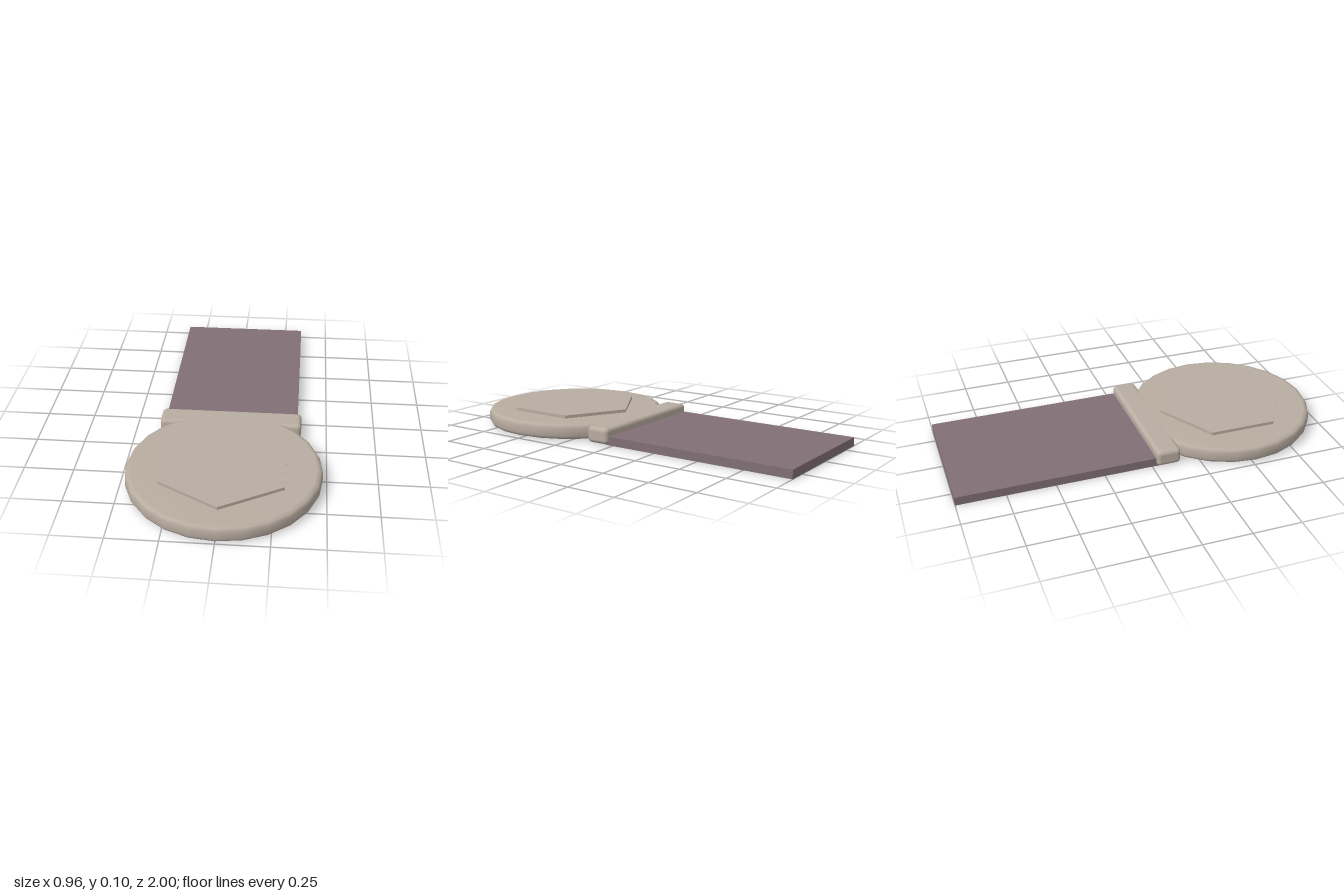
import * as THREE from 'three';
import { RoundedBoxGeometry } from 'three/addons/geometries/RoundedBoxGeometry.js';

export function createModel() {
  const group = new THREE.Group();
  const metal = new THREE.MeshStandardMaterial({ color: 0xb9ada1 });
  metal.name = 'warm grey metal';
  const cloth = new THREE.MeshStandardMaterial({ color: 0x816f75 });
  cloth.name = 'mauve ribbon';

  function add(name, geometry, material, x, y, z) {
    const mesh = new THREE.Mesh(geometry, material);
    mesh.name = name;
    mesh.position.set(x, y, z);
    group.add(mesh);
    return mesh;
  }

  // Medal disc with a softly rounded rim
  const profile = [
    [0, 0.003], [0.452, 0.003], [0.471, 0.009], [0.48, 0.025],
    [0.48, 0.065], [0.471, 0.081], [0.452, 0.087], [0, 0.087],
  ].map(([r, y]) => new THREE.Vector2(r, y));
  add('medalDisc', new THREE.LatheGeometry(profile, 24), metal, 0, 0, 0.52);

  // Raised hexagon, one corner towards the ribbon
  const hexagon = new THREE.CylinderGeometry(0.347, 0.347, 0.04, 6).toNonIndexed();
  hexagon.computeVertexNormals();
  add('raisedHexagon', hexagon, metal, 0, 0.083, 0.52);

  // Clasp bar joining disc and ribbon
  add('claspBar', new RoundedBoxGeometry(0.735, 0.085, 0.128, 3, 0.022), metal, 0, 0.0455, 0.085);

  // Flat ribbon, tucked into the clasp
  add('ribbon', new THREE.BoxGeometry(0.695, 0.045, 1.04), cloth, 0, 0.0225, -0.48);

  return group;
}
